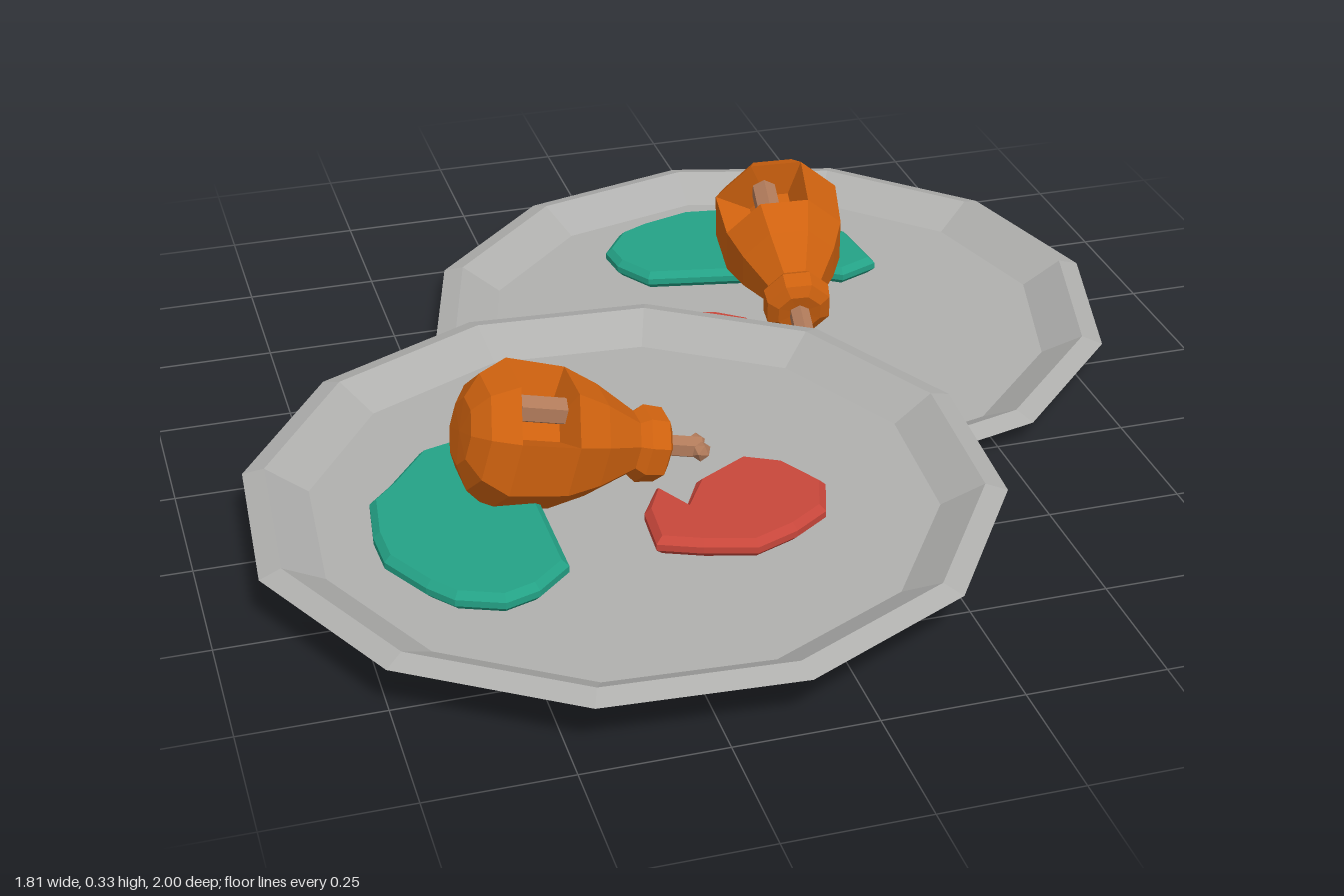
import * as THREE from 'three';

const flat = (name, color, side = THREE.FrontSide) =>
  new THREE.MeshStandardMaterial({ name, color, flatShading: true, side });

const materials = {
  plate: flat('plateGrey', 0xb0b0ae),
  meat: flat('roastOrange', 0xcf620f, THREE.DoubleSide),
  bone: flat('boneBrown', 0xb07a5a),
  lettuce: flat('lettuceTeal', 0x24a286),
  tomato: flat('tomatoRed', 0xc8473b),
};

function part(name, geometry, material) {
  const mesh = new THREE.Mesh(geometry, material);
  mesh.name = name;
  return mesh;
}

const profile = (points) => points.map(([x, y]) => new THREE.Vector2(x, y));

// Shallow twelve-sided plate with a raised rim
function createPlate() {
  const points = profile([
    [0, 0], [0.55, 0], [0.677, 0.048], [0.637, 0.06], [0.56, 0.015], [0, 0.015],
  ]);
  return part('plate', new THREE.LatheGeometry(points, 12), materials.plate);
}

// Thin bevelled slice lying on the plate, outlined in x and z
function createSlice(name, outline, material) {
  const shape = new THREE.Shape(outline.map(([x, z]) => new THREE.Vector2(x, -z)));
  const geometry = new THREE.ExtrudeGeometry(shape, {
    depth: 0.012, bevelEnabled: true, bevelThickness: 0.012,
    bevelSize: 0.012, bevelOffset: -0.012, bevelSegments: 1,
  });
  geometry.rotateX(-Math.PI / 2).translate(0, 0.028, 0);
  return part(name, geometry, material);
}

// Meat: eight-sided rings along z, with a bite sunk into two upper panels
function createMeatGeometry() {
  const sides = 8;
  const rings = [
    [-0.115, 0], [-0.113, 0.06], [-0.09, 0.103], [-0.045, 0.134], [0.065, 0.126],
    [0.13, 0.1], [0.205, 0.057], [0.222, 0.07], [0.258, 0.067], [0.27, 0.045], [0.268, 0],
  ];
  const biteRing = 3, biteSides = [1, 2];
  const positions = [];
  const point = (z, r, j) => {
    const a = THREE.MathUtils.degToRad(25 + (j * 360) / sides);
    return [r * Math.cos(a), r * Math.sin(a), z];
  };
  const quad = (a, b, c, d) => positions.push(...a, ...b, ...c, ...a, ...c, ...d);

  for (let i = 0; i < rings.length - 1; i++) {
    const [z0, r0] = rings[i], [z1, r1] = rings[i + 1];
    for (let j = 0; j < sides; j++) {
      if (i === biteRing && biteSides.includes(j)) continue;
      quad(point(z0, r0, j), point(z0, r0, j + 1), point(z1, r1, j + 1), point(z1, r1, j));
    }
  }

  // Bite walls and floor
  const [z0, r0] = rings[biteRing], [z1, r1] = rings[biteRing + 1];
  const depth = 0.06, y0 = z0 + 0.015, y1 = z1 - 0.015;
  for (const j of biteSides) {
    quad(point(z0, r0, j), point(z0, r0, j + 1), point(y0, depth, j + 1), point(y0, depth, j));
    quad(point(y0, depth, j), point(y0, depth, j + 1), point(y1, depth, j + 1), point(y1, depth, j));
    quad(point(y1, depth, j), point(y1, depth, j + 1), point(z1, r1, j + 1), point(z1, r1, j));
  }
  const first = biteSides[0], last = biteSides[1] + 1;
  quad(point(z0, r0, first), point(y0, depth, first), point(y1, depth, first), point(z1, r1, first));
  quad(point(z0, r0, last), point(z1, r1, last), point(y1, depth, last), point(y0, depth, last));

  const geometry = new THREE.BufferGeometry();
  geometry.setAttribute('position', new THREE.Float32BufferAttribute(positions, 3));
  geometry.computeVertexNormals();
  return geometry;
}

function createDrumstick() {
  const group = new THREE.Group();
  group.name = 'drumstick';
  group.add(part('meat', createMeatGeometry(), materials.meat));

  // Bone shaft with a knuckle at its tip
  const shaft = new THREE.CylinderGeometry(0.021, 0.021, 0.08, 6);
  shaft.rotateX(Math.PI / 2).translate(0, 0, 0.3);
  group.add(part('boneShaft', shaft, materials.bone));
  for (const side of [-1, 1]) {
    const knuckle = part('boneKnuckle', new THREE.IcosahedronGeometry(0.019, 0), materials.bone);
    knuckle.position.set(side * 0.015, 0, 0.338);
    group.add(knuckle);
  }

  // Bone showing inside the bite
  const exposed = new THREE.CylinderGeometry(0.026, 0.026, 0.085, 6);
  exposed.rotateX(Math.PI / 2).translate(-0.03, 0.068, 0.01);
  group.add(part('exposedBone', exposed, materials.bone));

  // Neck resting low, pointing towards the front of the plate
  group.rotation.set(THREE.MathUtils.degToRad(15), THREE.MathUtils.degToRad(-8.5), 0, 'YXZ');
  group.position.set(0.078, 0.146, -0.158);
  return group;
}

const lettuceOutline = [
  [-0.243, 0.0], [-0.195, 0.072], [-0.14, 0.1], [-0.035, 0.132], [0.045, 0.12],
  [0.15, 0.085], [0.19, 0.03], [0.27, -0.06], [0.282, -0.2], [0.2, -0.235],
  [0.12, -0.18], [0.04, -0.185], [-0.19, -0.14], [-0.235, -0.065],
].map(([x, z]) => [x, -z - 0.335]);

const tomatoOutline = [
  [-0.051, 0.119], [-0.014, 0.229], [-0.064, 0.289], [-0.162, 0.319], [-0.24, 0.275],
  [-0.272, 0.2], [-0.288, 0.115], [-0.245, 0.032], [-0.199, -0.035], [-0.101, -0.009],
  [-0.037, 0.047], [-0.112, 0.069],
];

function createServing(name, x, y, z, turn) {
  const group = new THREE.Group();
  group.name = name;
  group.add(
    createPlate(),
    createSlice('lettuce', lettuceOutline, materials.lettuce),
    createSlice('tomato', tomatoOutline, materials.tomato),
    createDrumstick(),
  );
  group.position.set(x, y, z);
  group.rotation.y = THREE.MathUtils.degToRad(turn);
  return group;
}

export function createModel() {
  const model = new THREE.Group();
  model.name = 'platedDrumsticks';
  model.add(
    createServing('backServing', 0.225, 0, -0.325, 0),
    createServing('frontServing', -0.246, 0.05, 0.33, 101.3),
  );
  return model;
}
